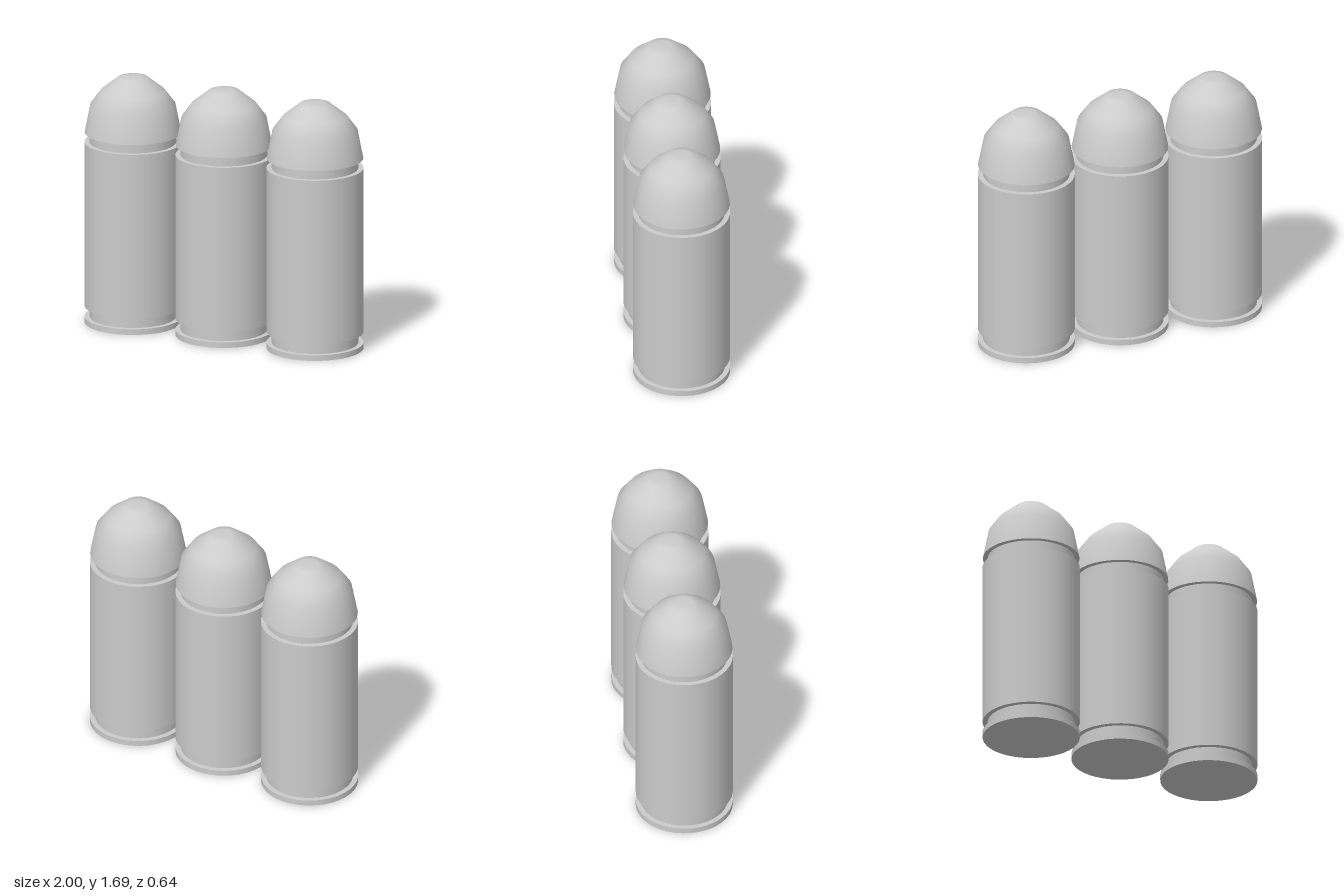
import * as THREE from 'three';

const SIDES = 40;
const RADIUS = 0.322;
const GROOVE_RADIUS = 0.288;
const SPACING = 0.678;

const material = new THREE.MeshStandardMaterial({ color: 0xcccccc });

function part(name, geometry) {
  const mesh = new THREE.Mesh(geometry, material);
  mesh.name = name;
  return mesh;
}

// Upright cylinder between two heights
function drum(name, radius, bottom, top) {
  const geometry = new THREE.CylinderGeometry(radius, radius, top - bottom, SIDES);
  geometry.translate(0, (bottom + top) / 2, 0);
  return part(name, geometry);
}

function createCartridge() {
  const cartridge = new THREE.Group();

  // Casing: rim, extractor groove, body and the neck under the tip
  cartridge.add(
    drum('rim', RADIUS, 0, 0.038),
    drum('extractorGroove', GROOVE_RADIUS, 0.038, 0.112),
    drum('casing', RADIUS, 0.112, 1.24),
    drum('neck', GROOVE_RADIUS, 1.24, 1.306),
  );

  // Blunt domed tip
  const profile = [
    [0.32, 1.306], [0.283, 1.497], [0.215, 1.59], [0.1, 1.682], [0.055, 1.69], [0, 1.69],
  ].map(([r, y]) => new THREE.Vector2(r, y));
  cartridge.add(part('tip', new THREE.LatheGeometry(profile, SIDES)));

  // Flat underside of the tip
  const underside = new THREE.CircleGeometry(0.32, SIDES);
  underside.rotateX(Math.PI / 2).translate(0, 1.306, 0);
  cartridge.add(part('tipUnderside', underside));

  return cartridge;
}

export function createModel() {
  const model = new THREE.Group();
  model.name = 'cartridges';
  // Three identical cartridges in a row
  ['right', 'middle', 'left'].forEach((side, i) => {
    const cartridge = createCartridge();
    cartridge.name = `${side}Cartridge`;
    cartridge.position.x = (i - 1) * SPACING;
    model.add(cartridge);
  });
  return model;
}
